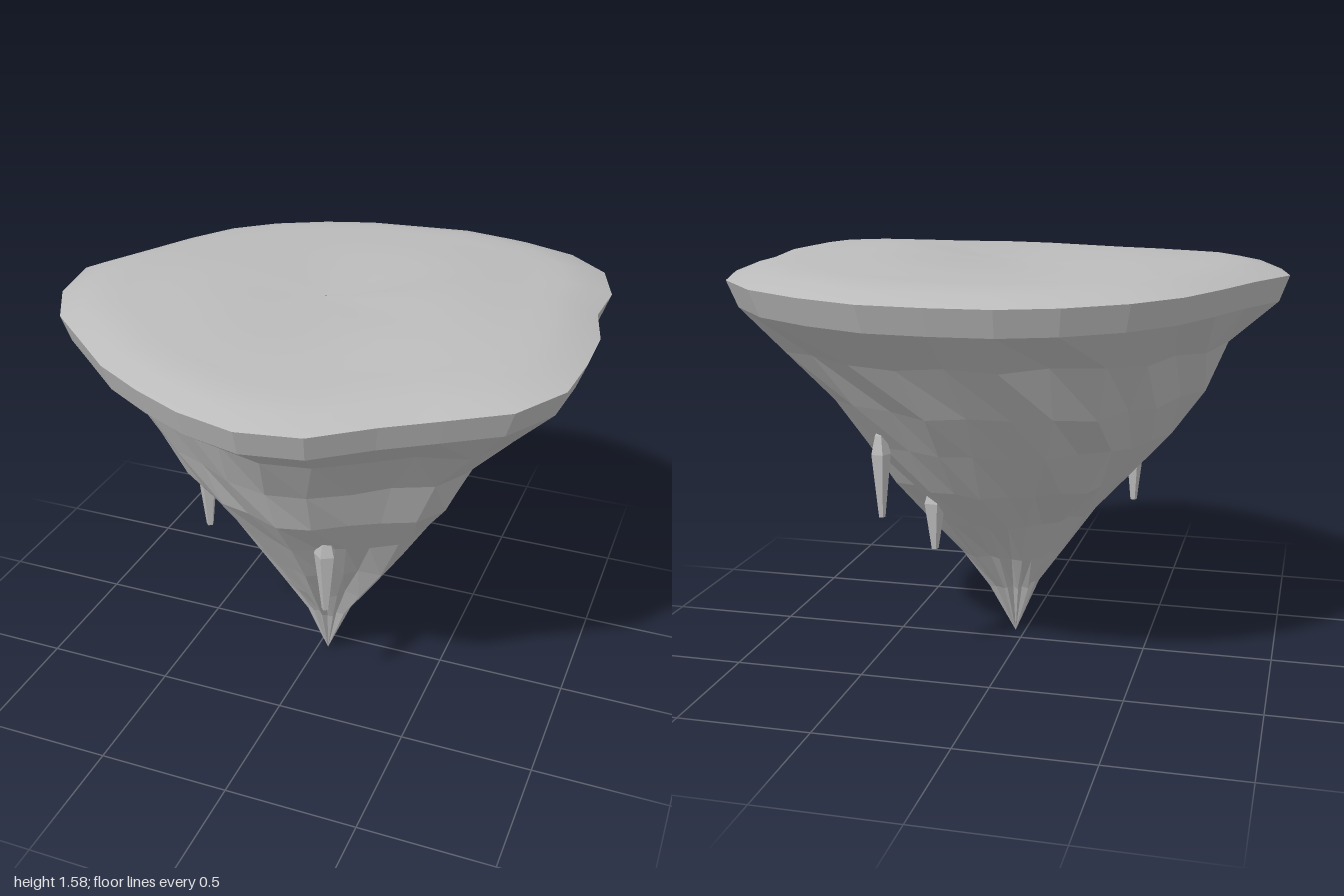
import * as THREE from 'three';

// Plan outline of the island, [x, z] pairs running back -> right -> front -> left
const OUTLINE = [
  [0.30, -0.99], [0.52, -0.93], [0.73, -0.83], [0.89, -0.66], [0.96, -0.43], [0.95, -0.21], [1.0, 0.0],
  [1.0, 0.21], [0.98, 0.43], [0.86, 0.62], [0.67, 0.73], [0.49, 0.83], [0.30, 0.96], [0.08, 0.99],
  [-0.14, 0.93], [-0.33, 0.84], [-0.52, 0.73], [-0.69, 0.58], [-0.85, 0.44], [-0.96, 0.24], [-1.0, 0.0],
  [-0.89, -0.22], [-0.80, -0.42], [-0.69, -0.62], [-0.54, -0.77], [-0.34, -0.89], [-0.14, -0.96], [0.08, -0.98],
];
const N = OUTLINE.length;

// Small seeded random in -1..1
function seeded(seed) {
  return () => {
    seed = (seed * 16807) % 2147483647;
    return (seed / 2147483647) * 2 - 1;
  };
}

const rimHeight = (a) => 1.483 + 0.01 * Math.cos(a) + 0.017 * Math.cos(2 * a);

// Skin a list of closed rings (each N points) into a surface
function loft(rings, faceted) {
  const n = rings[0].length;
  const index = [];
  for (let r = 0; r < rings.length - 1; r++) {
    for (let i = 0; i < n; i++) {
      const j = (i + 1) % n;
      const a = r * n + i, b = r * n + j, c = a + n, d = b + n;
      index.push(a, b, c, b, d, c);
    }
  }
  let g = new THREE.BufferGeometry();
  g.setAttribute('position', new THREE.Float32BufferAttribute(rings.flat(2), 3));
  g.setIndex(index);
  if (faceted) g = g.toNonIndexed();
  g.computeVertexNormals();
  return g;
}

// Gently rolling top: smooth rings from the centre to the rim
function topGeometry() {
  const rings = [];
  const steps = 12;
  for (let s = 0; s <= steps; s++) {
    const t = Math.max(s / steps, 0.002);
    rings.push(OUTLINE.map(([x, z]) => {
      const a = Math.atan2(z, x);
      const rim = rimHeight(a);
      const mid = 1.545 + 0.0125 * Math.cos(a) + 0.018 * Math.cos(2 * a);
      const lerp = THREE.MathUtils.lerp, smooth = THREE.MathUtils.smoothstep;
      let y;
      if (t < 0.5) y = lerp(1.52, mid, smooth(t, 0, 0.5));
      else if (t < 0.84) y = lerp(mid, rim + 0.05, smooth(t, 0.5, 0.84));
      else y = rim + 0.05 * (1 - ((t - 0.84) / 0.16) ** 1.5);
      return [x * t, y, z * t];
    }));
  }
  return loft(rings, false);
}

// Rock underside: faceted rings shrinking to an off-centre tip
function rockGeometry() {
  const rand = seeded(77);
  // height, scale, centre x, centre z, pleat depth
  const levels = [
    [1.24, 0.81, 0, -0.02, 0], [1.05, 0.675, -0.03, -0.02, 0], [0.88, 0.575, -0.01, 0.01, 0.01],
    [0.71, 0.45, 0.01, 0.02, 0.02], [0.54, 0.315, 0.03, 0.04, 0.04], [0.37, 0.19, 0.035, 0.06, 0.07],
    [0.22, 0.09, 0.04, 0.07, 0.1], [0, 0.001, 0.04, 0.08, 0],
  ];
  const rings = [1, 0.965].map((s, k) =>
    OUTLINE.map(([x, z]) => [x * s, rimHeight(Math.atan2(z, x)) - 0.095 * k, z * s]));
  for (const [y, s, cx, cz, pleat] of levels) {
    rings.push(OUTLINE.map(([x, z], i) => {
      const k = s * (1 + 0.025 * rand() + (i % 2 ? pleat : -pleat));
      return [cx + x * k, y + (y > 0 ? 0.012 * rand() : 0), cz + z * k];
    }));
  }
  return loft(rings, true);
}

// Hanging stone spike: widest near the top, blunt at the bottom
function spikeGeometry(height, width) {
  const profile = [[0.001, 1], [0.55, 0.9], [1, 0.7], [0.33, 0], [0.001, 0]];
  const rings = profile.map(([r, h]) => Array.from({ length: 5 }, (_, i) => {
    const a = (i / 5) * Math.PI * 2 + 0.4;
    return [Math.cos(a) * r * width / 2, h * height, Math.sin(a) * r * width / 2];
  }));
  return loft(rings, true);
}

export function createModel() {
  const group = new THREE.Group();
  group.name = 'floatingIsland';
  const stone = new THREE.MeshStandardMaterial({ color: 0xbbbbbb });
  stone.name = 'stoneGrey';

  const add = (name, geometry) => {
    const mesh = new THREE.Mesh(geometry, stone);
    mesh.name = name;
    group.add(mesh);
    return mesh;
  };

  add('islandTop', topGeometry());
  add('rockUnderside', rockGeometry());

  // Spikes: x, bottom y, z, height, width
  [
    [0.165, 0.46, 0.43, 0.35, 0.085],
    [-0.42, 0.56, 0.19, 0.36, 0.085],
    [0.40, 0.63, -0.50, 0.34, 0.075],
    [0.26, 0.46, -0.31, 0.26, 0.085],
  ].forEach(([x, y, z, h, w], i) => {
    add(`hangingSpike${i + 1}`, spikeGeometry(h, w)).position.set(x, y, z);
  });
  return group;
}
